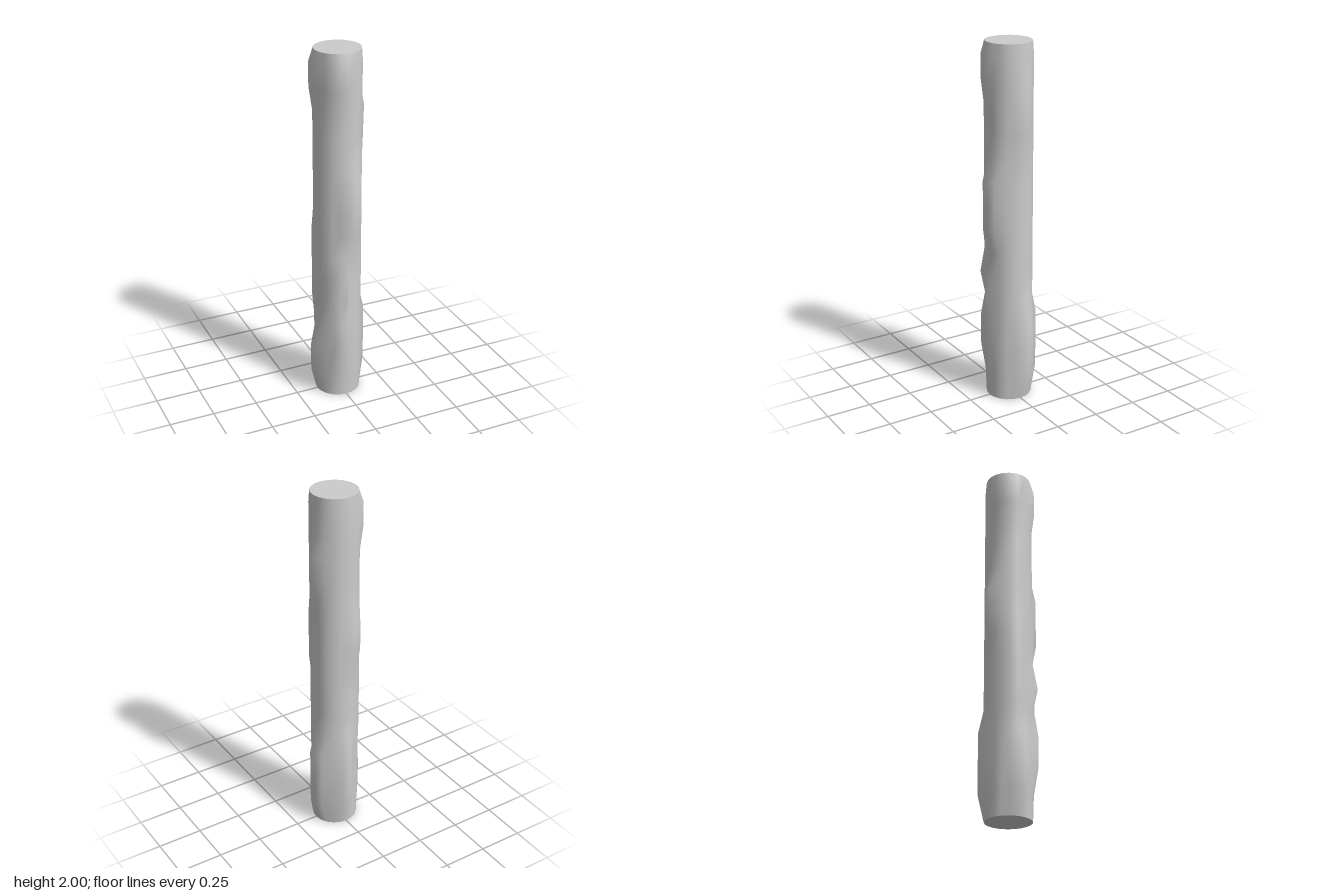
import * as THREE from 'three';
import { mergeVertices, toCreasedNormals } from 'three/addons/utils/BufferGeometryUtils.js';

const SIDES = 20;
// heights of the rings along the log
const RINGS = [0, 0.14, 0.3, 0.47, 0.6, 0.73, 0.87, 1, 1.13, 1.27, 1.4, 1.53, 1.67, 1.8, 1.93, 2];

// swellings: columns (counted from the front towards +x), first ring, last ring, push in x, push in z
const BUMPS = [
  [[0, 1, 2], 7, 9, 0, 0.03],
  [[18, 19], 2, 3, 0, 0.028],
  [[18, 19], 5, 5, 0, 0.028],
  [[0], 2, 5, 0, 0.018],
  [[18, 19, 0], 13, 14, 0, 0.017],
  [[9, 10], 1, 3, 0, -0.029],
  [[11, 12], 8, 9, 0, -0.028],
  [[5, 6, 7], 1, 3, 0.03, 0],
  [[5, 6], 12, 12, 0.022, 0],
  [[5, 6], 11, 11, 0.018, 0],
  [[15, 16], 1, 2, -0.032, 0],
  [[13, 14, 15], 13, 14, -0.02, 0],
  [[14, 15], 4, 7, -0.011, 0],
];

export function createModel() {
  const group = new THREE.Group();
  const last = RINGS.length - 1;
  const geo = new THREE.CylinderGeometry(0.13, 0.13, last, SIDES, last);
  const pos = geo.attributes.position;

  for (let i = 0; i < pos.count; i++) {
    const ring = Math.round(pos.getY(i) + last / 2);
    let x = pos.getX(i), z = pos.getZ(i);
    const isRim = Math.hypot(x, z) > 0.01;
    const column = (Math.round(Math.atan2(x, z) / (2 * Math.PI) * SIDES) + SIDES) % SIDES;

    // slightly narrowed ends
    if (ring === 0 || ring === last) { x *= 0.96; z *= 0.96; }
    // push the columns of each swelling outwards
    if (isRim) {
      for (const [columns, from, to, dx, dz] of BUMPS) {
        if (ring >= from && ring <= to && columns.includes(column)) { x += dx; z += dz; }
      }
    }
    pos.setXYZ(i, x, RINGS[ring], z);
  }

  // smooth bark, crisp end cuts
  geo.deleteAttribute('uv');
  geo.deleteAttribute('normal');
  const log = new THREE.Mesh(
    toCreasedNormals(mergeVertices(geo, 1e-4), 1.0),
    new THREE.MeshStandardMaterial({ color: 0xcccccc })
  );
  log.name = 'log';
  group.add(log);
  return group;
}
